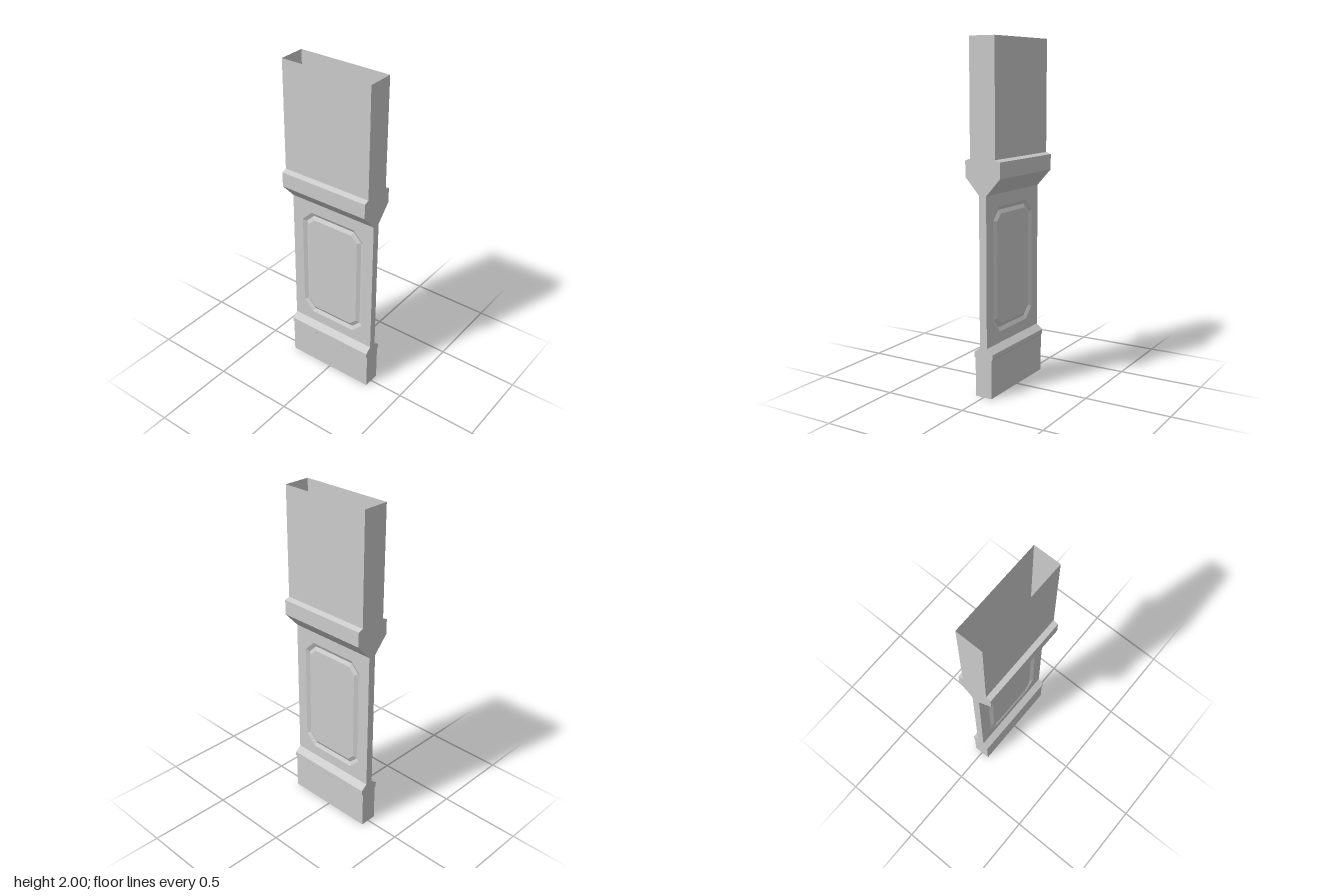
import * as THREE from 'three';

const HALF_W = 0.285;
// Half profile of the pillar as [y, depth], bottom to top
const PROFILE = [
  [0, 0.052], [0.222, 0.052], [0.232, 0.061], [0.258, 0.061], [0.288, 0.023],
  [1.147, 0.023], [1.245, 0.111], [1.335, 0.111], [1.346, 0.08], [2, 0.08],
];
const PANEL_START = 4; // profile index where the thin panel begins

const material = new THREE.MeshStandardMaterial({
  color: 0xcccccc, flatShading: true, side: THREE.DoubleSide,
});

function addMesh(parent, name, geometry) {
  const mesh = new THREE.Mesh(geometry, material);
  mesh.name = name;
  parent.add(mesh);
  return mesh;
}

// Joins two equal rows of points with quads
function strip(a, b, closed = false) {
  const pos = [];
  const count = closed ? a.length : a.length - 1;
  for (let i = 0; i < count; i++) {
    const j = (i + 1) % a.length;
    pos.push(...a[i], ...a[j], ...b[j], ...a[i], ...b[j], ...b[i]);
  }
  const g = new THREE.BufferGeometry();
  g.setAttribute('position', new THREE.Float32BufferAttribute(pos, 3));
  g.computeVertexNormals();
  return g;
}

// Chamfered rectangle, counter-clockwise, inset from the outer groove edge
function octagon(inset) {
  const x = 0.217 - inset, y0 = 0.353 + inset, y1 = 1.075 - inset;
  const c = 0.066 - inset * 0.586;
  return [
    [-x + c, y0], [x - c, y0], [x, y0 + c], [x, y1 - c],
    [x - c, y1], [-x + c, y1], [-x, y1 - c], [-x, y0 + c],
  ].map(([px, py]) => new THREE.Vector2(px, py));
}

function createFace(name) {
  const face = new THREE.Group();
  face.name = name;

  // Base and head mouldings, either side of the panel
  const wall = (rows) => strip(
    rows.map(([y, z]) => [HALF_W, y, z]),
    rows.map(([y, z]) => [-HALF_W, y, z]),
  );
  addMesh(face, 'baseMoulding', wall(PROFILE.slice(0, PANEL_START + 1)));
  addMesh(face, 'headMoulding', wall(PROFILE.slice(PANEL_START + 1)));

  // Panel surround with an octagonal opening
  const [y0, z] = PROFILE[PANEL_START];
  const y1 = PROFILE[PANEL_START + 1][0];
  const frame = new THREE.Shape([
    new THREE.Vector2(-HALF_W, y0), new THREE.Vector2(HALF_W, y0),
    new THREE.Vector2(HALF_W, y1), new THREE.Vector2(-HALF_W, y1),
  ]);
  frame.holes.push(new THREE.Path(octagon(0)));
  addMesh(face, 'panelSurround', new THREE.ShapeGeometry(frame)).position.z = z;

  // Shallow V-groove and the flush centre field
  const loop = (inset, depth) => octagon(inset).map((p) => [p.x, p.y, z - depth]);
  addMesh(face, 'grooveOuterSlope', strip(loop(0, 0), loop(0.022, 0.012), true));
  addMesh(face, 'grooveInnerSlope', strip(loop(0.022, 0.012), loop(0.044, 0), true));
  addMesh(face, 'panelField', new THREE.ShapeGeometry(new THREE.Shape(octagon(0.044)))).position.z = z;
  return face;
}

export function createModel() {
  const model = new THREE.Group();
  model.name = 'panelledPillar';

  // Identical front and back
  model.add(createFace('frontFace'));
  const back = createFace('backFace');
  back.rotation.y = Math.PI;
  model.add(back);

  // Flat side walls cut to the profile; the top and bottom stay open
  const outline = [
    ...PROFILE.map(([y, z]) => new THREE.Vector2(z, y)),
    ...PROFILE.slice().reverse().map(([y, z]) => new THREE.Vector2(-z, y)),
  ];
  for (const side of [1, -1]) {
    const wall = addMesh(model, side > 0 ? 'leftSide' : 'rightSide',
      new THREE.ShapeGeometry(new THREE.Shape(outline)));
    wall.rotation.y = side * Math.PI / 2;
    wall.position.x = side * HALF_W;
  }

  // Floor at the foot of the hollow head
  const [y, z] = PROFILE[PANEL_START + 1];
  const floor = addMesh(model, 'headFloor', new THREE.PlaneGeometry(2 * HALF_W, 2 * z));
  floor.rotation.x = -Math.PI / 2;
  floor.position.y = y;
  return model;
}
